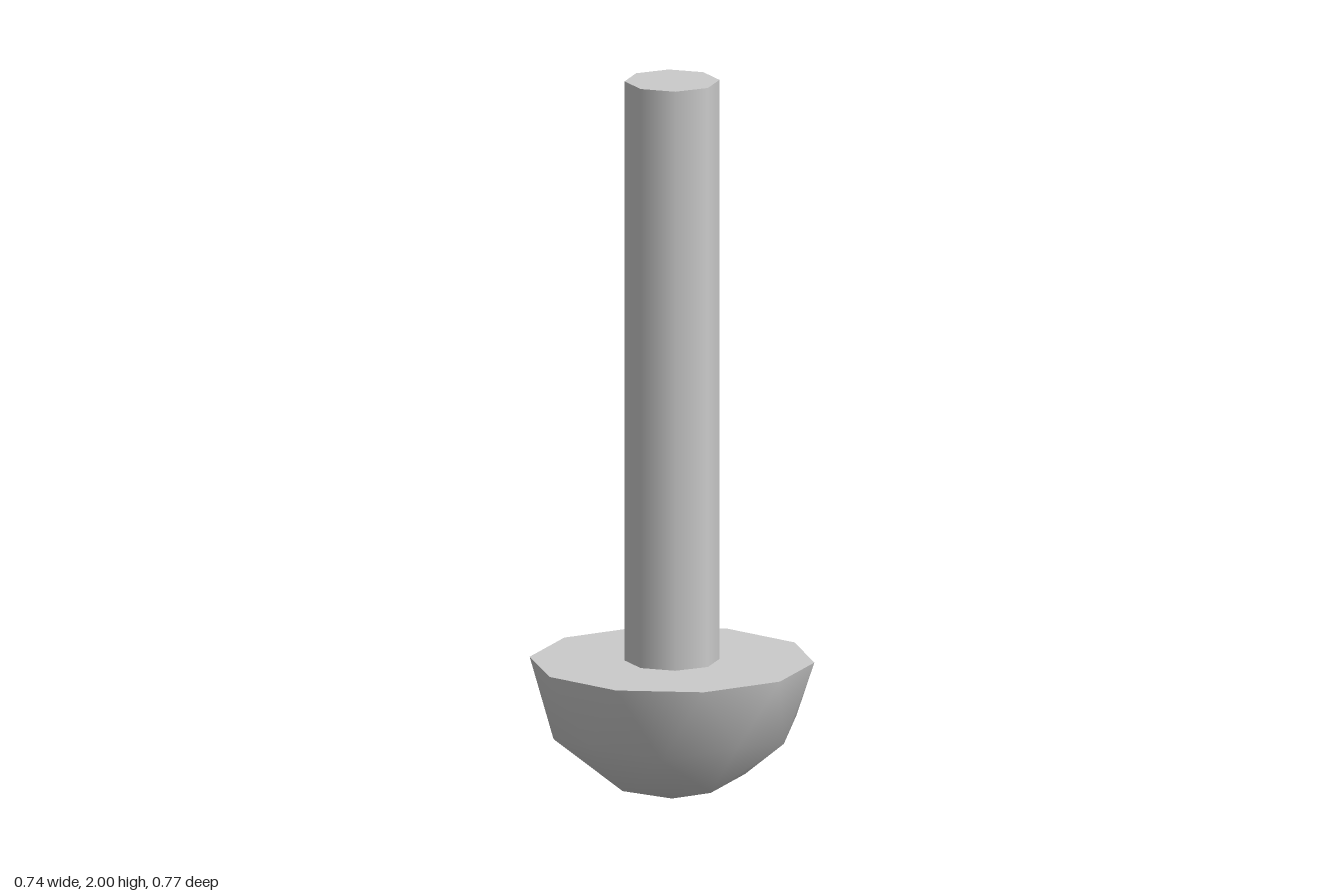
import * as THREE from 'three';

const R = 0.387; // head radius
const SHAFT_R = 0.129;
const HEIGHT = 2;

// Lower half of a once-subdivided icosahedron, standing on its pole at y = 0
function domeGeometry() {
  const positions = [0, 0, 0];
  const index = [];
  const add = (step, radius, depth) => {
    const a = Math.PI + (step * Math.PI) / 5;
    positions.push(R * radius * Math.cos(a), R * (1 - depth), R * radius * Math.sin(a));
  };
  for (let k = 0; k < 5; k++) add(2 * k, 0.5257, 0.8507); // ring near the pole
  for (let j = 0; j < 10; j++) { // zigzag middle ring
    if (j % 2 === 0) add(j, 0.8944, 0.4472);
    else add(j, 0.8507, 0.5257);
  }
  for (let j = 0; j < 10; j++) add(j + 0.5, 1, 0); // rim

  const low = (k) => 1 + (k % 5);
  const mid = (j) => 6 + ((j + 10) % 10);
  const rim = (j) => 16 + ((j + 10) % 10);
  for (let k = 0; k < 5; k++) {
    index.push(0, low(k), low(k + 1));
    index.push(low(k), mid(2 * k - 1), mid(2 * k));
    index.push(low(k), mid(2 * k), mid(2 * k + 1));
    index.push(low(k), mid(2 * k + 1), low(k + 1));
  }
  for (let j = 0; j < 10; j++) {
    index.push(mid(j), rim(j - 1), rim(j));
    index.push(mid(j), rim(j), mid(j + 1));
  }
  const geometry = new THREE.BufferGeometry();
  geometry.setAttribute('position', new THREE.Float32BufferAttribute(positions, 3));
  geometry.setIndex(index);
  geometry.computeVertexNormals();
  return geometry;
}

export function createModel() {
  const model = new THREE.Group();
  model.name = 'roundHeadPin';
  const material = new THREE.MeshStandardMaterial({ color: 0xcccccc });
  const addPart = (name, geometry, y, parent) => {
    const mesh = new THREE.Mesh(geometry, material);
    mesh.name = name;
    mesh.position.y = y;
    parent.add(mesh);
  };

  // Rounded head with its flat ten-sided top
  const head = new THREE.Group();
  head.name = 'head';
  addPart('headDome', domeGeometry(), 0, head);
  addPart('headTop', new THREE.CircleGeometry(R, 10, Math.PI / 10).rotateX(-Math.PI / 2), R, head);
  model.add(head);

  // Eight-sided shaft
  const length = HEIGHT - R;
  addPart('shaft', new THREE.CylinderGeometry(SHAFT_R, SHAFT_R, length, 8), R + length / 2, model);

  return model;
}
